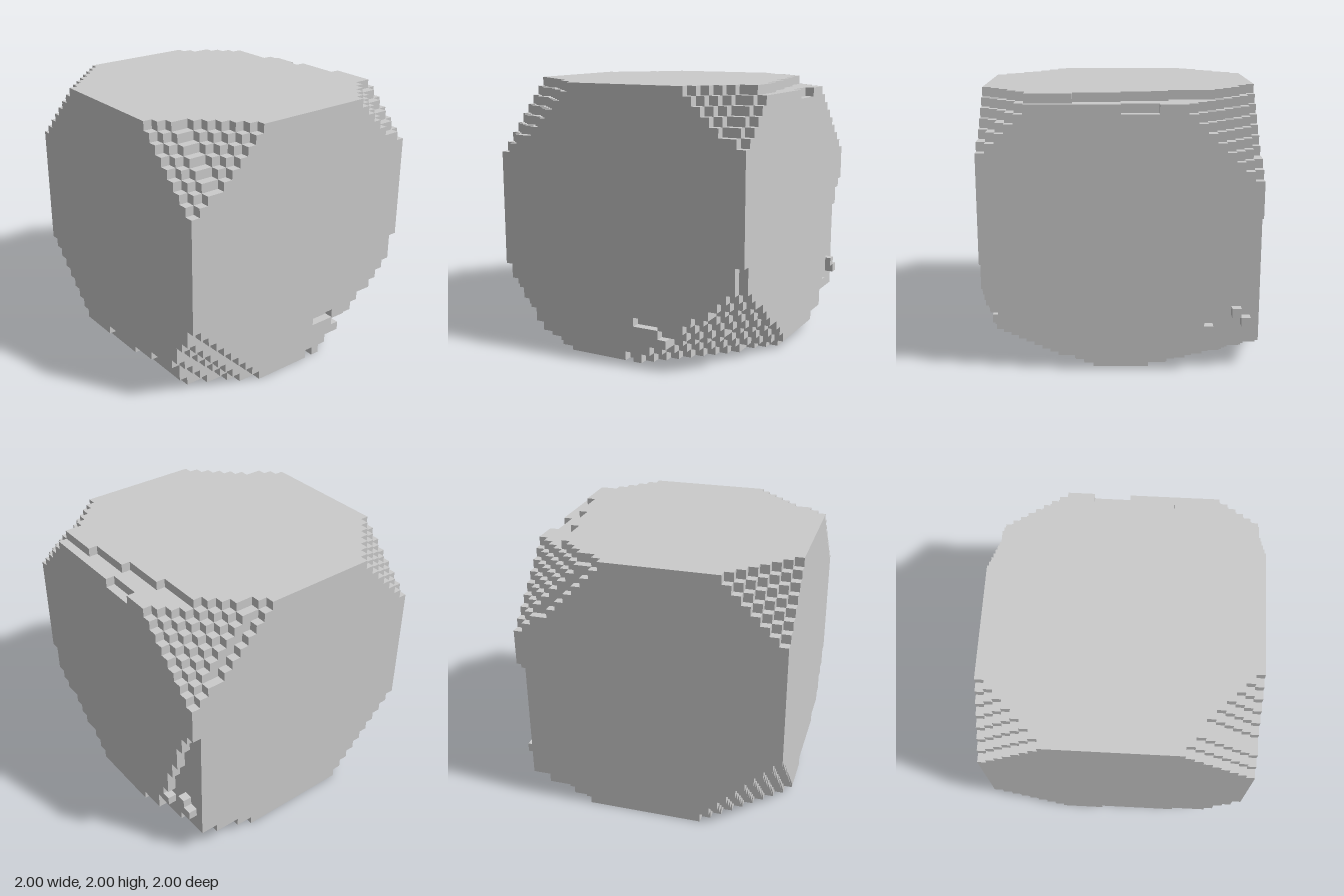
import * as THREE from 'three';

const N = 30;          // cells per side
const S = 2 / N;       // cell size

// Stepped corner cuts: which corner (1 = far end of the axis) and how far the cut runs along x, y, z
const corners = [
  { at: [0, 1, 1], run: [8, 8, 8] },
  { at: [1, 1, 1], run: [9.2, 9.2, 10.2] },
  { at: [0, 0, 1], run: [10.5, 9.5, 10] },
  { at: [1, 0, 1], run: [6, 10.5, 10.5] },
  { at: [0, 1, 0], run: [9.6, 10.5, 10.7] },
  { at: [1, 1, 0], run: [7.2, 7.2, 8.7] },
  { at: [0, 0, 0], run: [17, 4, 9.5] },
  { at: [1, 0, 0], run: [14, 10.5, 13] },
];

// Single-layer slots: [min, max] cell ranges in x, y, z
const slots = [
  [[11, 14], [28, 28], [0, 0]],
  [[29, 29], [4, 4], [10, 12]],
  [[29, 29], [3, 3], [6, 9]],
  [[29, 29], [0, 0], [13, 13]],
  [[29, 29], [10, 11], [0, 0]],
];

// Loose cells left standing on the back edge
const studs = [[5, 4, 0], [2, 6, 0], [1, 5, 0]];

function solid(p) {
  const [x, y, z] = p;
  if (p.some((c) => c < 0 || c >= N)) return false;
  if (studs.some((s) => s.every((c, k) => c === p[k]))) return true;
  // corners
  for (const { at, run } of corners) {
    let d = 0;
    for (let k = 0; k < 3; k++) d += ((at[k] ? N - 1 - p[k] : p[k]) + 0.5) / run[k];
    if (d < 1) return false;
  }
  // top back edge, narrowing towards +x
  if (y === N - 1 && z < 5 - Math.floor(x / 5)) return false;
  // bottom front edge, growing towards +x
  if (y + 1.5 * (N - 1 - z) < (x - 4) / 8.5) return false;
  // bottom back edge
  if (y === 0 && z === 0) return false;
  // upright back edge, widening downwards
  if (z === 0 && y <= 16 && x + 1 <= 8.5 - 0.42 * y) return false;
  return !slots.some((s) => s.every(([a, b], k) => p[k] >= a && p[k] <= b));
}

// Exposed cell faces, joined into strips
function buildShell() {
  const pos = [];
  const place = (c) => [c[0] * S - 1, c[1] * S, c[2] * S - 1];
  for (let axis = 0; axis < 3; axis++) {
    const u = (axis + 1) % 3;
    const v = (axis + 2) % 3;
    for (const side of [0, 1]) {
      for (let a = 0; a < N; a++) for (let j = 0; j < N; j++) {
        let start = -1;
        for (let i = 0; i <= N; i++) {
          const p = [];
          p[axis] = a; p[u] = i; p[v] = j;
          const q = [...p];
          q[axis] += side ? 1 : -1;
          const open = solid(p) && !solid(q);
          if (open && start < 0) start = i;
          if (!open && start >= 0) {
            const corner = (cu, cv) => {
              const c = [];
              c[axis] = a + side; c[u] = cu; c[v] = cv;
              return place(c);
            };
            const quad = [corner(start, j), corner(i, j), corner(i, j + 1), corner(start, j + 1)];
            if (!side) quad.reverse();
            for (const k of [0, 1, 2, 0, 2, 3]) pos.push(...quad[k]);
            start = -1;
          }
        }
      }
    }
  }
  const geo = new THREE.BufferGeometry();
  geo.setAttribute('position', new THREE.Float32BufferAttribute(pos, 3));
  geo.computeVertexNormals();
  return geo;
}

export function createModel() {
  const group = new THREE.Group();
  group.name = 'steppedBlock';
  const block = new THREE.Mesh(
    buildShell(),
    new THREE.MeshStandardMaterial({ color: 0xcccccc, flatShading: true })
  );
  block.name = 'block';
  group.add(block);
  return group;
}
